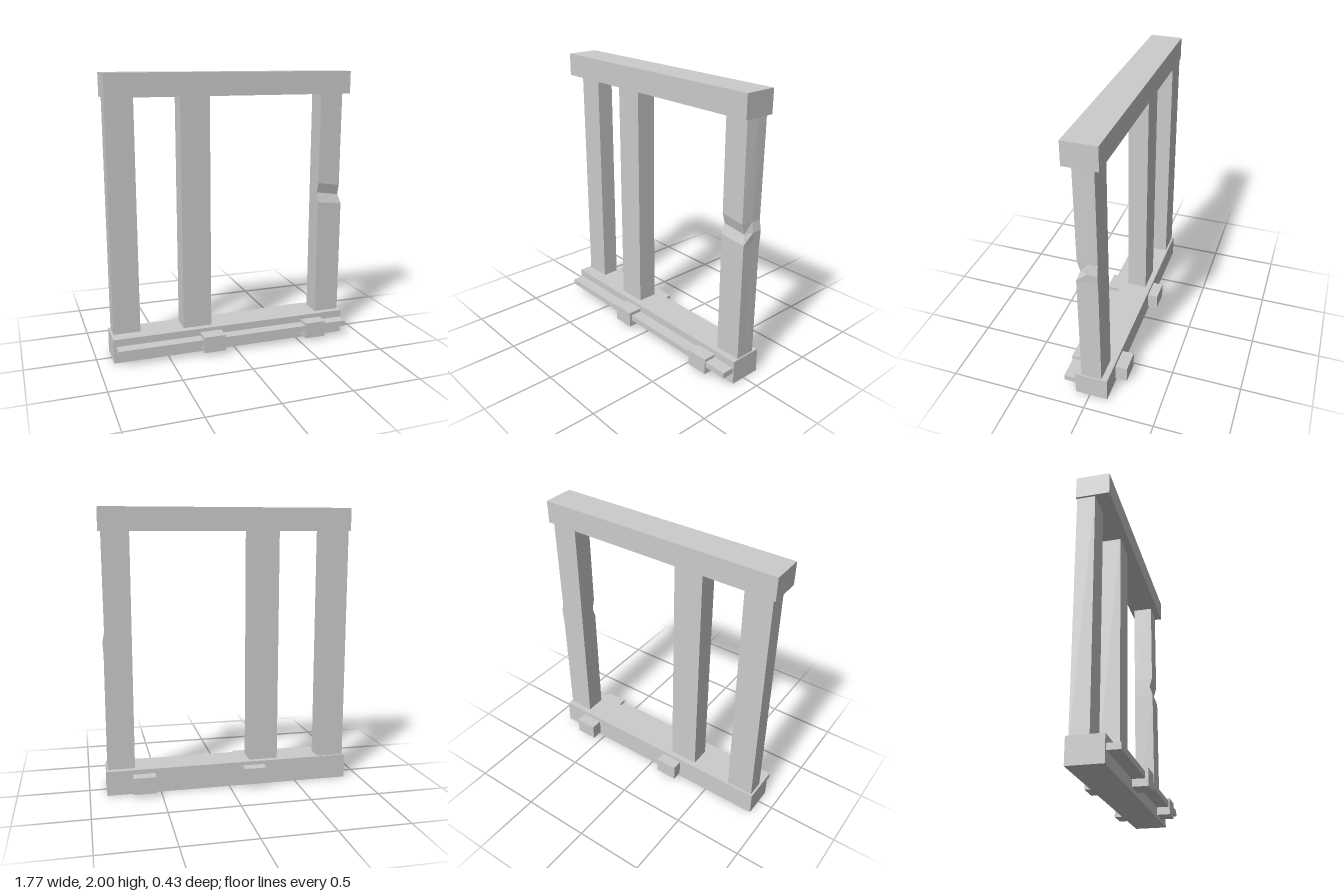
import * as THREE from 'three';

const material = new THREE.MeshStandardMaterial({ color: 0xcccccc, flatShading: true });

// Box given by its min and max on each axis
function box(name, [x0, x1], [y0, y1], [z0, z1]) {
  const mesh = new THREE.Mesh(new THREE.BoxGeometry(x1 - x0, y1 - y0, z1 - z0), material);
  mesh.position.set((x0 + x1) / 2, (y0 + y1) / 2, (z0 + z1) / 2);
  mesh.name = name;
  return mesh;
}

// Closed solid through rings of [x, y, z] corners, counter-clockwise seen from above
function loft(name, rings) {
  const n = rings[0].length;
  const index = [];
  for (let r = 0; r < rings.length - 1; r++) {
    for (let i = 0; i < n; i++) {
      const a = r * n + i, b = r * n + (i + 1) % n;
      index.push(a, b, b + n, a, b + n, a + n);
    }
  }
  const top = (rings.length - 1) * n;
  for (let i = 1; i < n - 1; i++) {
    index.push(0, i + 1, i, top, top + i, top + i + 1);
  }
  const geometry = new THREE.BufferGeometry();
  geometry.setAttribute('position', new THREE.Float32BufferAttribute(rings.flat(2), 3));
  geometry.setIndex(index);
  const flat = geometry.toNonIndexed();
  flat.computeVertexNormals();
  const mesh = new THREE.Mesh(flat, material);
  mesh.name = name;
  return mesh;
}

export function createModel() {
  const group = new THREE.Group();
  group.name = 'timberFrame';

  // Horizontal beams
  group.add(box('topBeam', [-0.89, 0.885], [1.84, 2], [-0.12, 0.11]));
  group.add(box('bottomBeam', [-0.89, 0.88], [0, 0.175], [-0.13, 0.105]));

  // Plain posts
  group.add(box('outerPost', [-0.875, -0.68], [0.1, 1.9], [-0.115, 0.01]));
  group.add(box('middlePost', [-0.37, -0.16], [0.1, 1.9], [-0.09, 0.055]));

  // Damaged post: front left, front right, side, back right, back left corners
  group.add(loft('notchedPost', [
    [[0.68, 0.003, 0.06], [0.87, 0.003, 0.06], [0.87, 0.003, -0.02], [0.87, 0.003, -0.087], [0.68, 0.003, -0.087]],
    [[0.68, 1.04, 0.06], [0.87, 1.02, 0.06], [0.87, 1.02, -0.02], [0.872, 0.95, -0.087], [0.68, 1.02, -0.087]],
    [[0.68, 1.11, 0.037], [0.85, 1.085, 0.037], [0.875, 1.09, -0.02], [0.88, 1.09, -0.087], [0.68, 1.09, -0.087]],
    [[0.68, 1.185, 0.058], [0.85, 1.16, 0.058], [0.862, 1.16, -0.02], [0.867, 1.16, -0.087], [0.68, 1.16, -0.087]],
    [[0.68, 1.9, 0.06], [0.85, 1.9, 0.06], [0.865, 1.9, -0.02], [0.872, 1.9, -0.087], [0.68, 1.9, -0.087]],
  ]));

  // Front rail and the blocks passing through the bottom beam
  group.add(box('frontRail', [-0.87, 0.87], [0.08, 0.122], [0.09, 0.192]));
  group.add(box('crossBlock', [-0.26, -0.1], [0.03, 0.148], [-0.205, 0.212]));
  group.add(box('crossBlock', [0.54, 0.7], [0.025, 0.143], [-0.215, 0.2]));

  return group;
}
